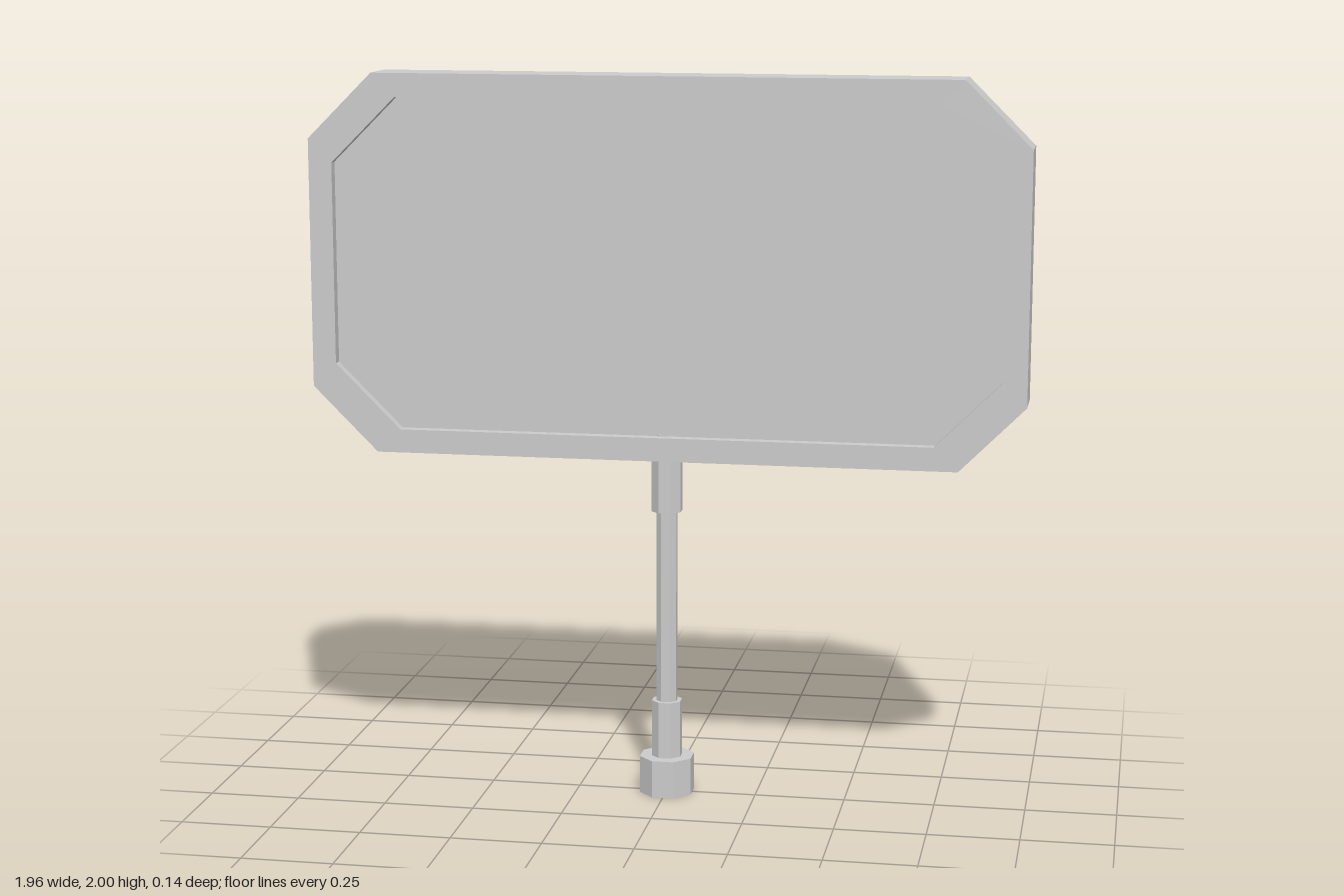
import * as THREE from 'three';

const material = new THREE.MeshStandardMaterial({ color: 0xcccccc, flatShading: true });
const panelMaterial = new THREE.MeshStandardMaterial({ color: 0xcccccc, side: THREE.DoubleSide });

const CENTER_Y = 1.478, HALF_W = 0.982, HALF_H = 0.522, CHAMFER = 0.18;
const HALF_DEPTH = 0.067, RIM = 0.065, PANEL_Z = 0.037;

// Chamfered rectangle, counterclockwise from the front, shrunk by an inset
function outline(inset) {
  const w = HALF_W - inset, h = HALF_H - inset, c = CHAMFER;
  return [
    [w, -h + c], [w, h - c], [w - c, h], [-w + c, h],
    [-w, h - c], [-w, -h + c], [-w + c, -h], [w - c, -h],
  ];
}

// Sweeps a closed [inset, z] profile around the outline
function sweepFrame(profile) {
  const rings = profile.map(([inset, z]) => outline(inset).map(([x, y]) => [x, y, z]));
  const positions = [];
  rings.forEach((ring, i) => {
    const next = rings[(i + 1) % rings.length];
    ring.forEach((a, k) => {
      const j = (k + 1) % ring.length;
      const b = ring[j], c = next[j], d = next[k];
      positions.push(...a, ...b, ...c, ...a, ...c, ...d);
    });
  });
  const geometry = new THREE.BufferGeometry();
  geometry.setAttribute('position', new THREE.Float32BufferAttribute(positions, 3));
  geometry.computeVertexNormals();
  return geometry;
}

// Octagonal post section with flats facing the front and sides
function octagon(name, apothem, bottom, top) {
  const radius = apothem / Math.cos(Math.PI / 8);
  const geometry = new THREE.CylinderGeometry(radius, radius, top - bottom, 8);
  geometry.rotateY(Math.PI / 8);
  const mesh = new THREE.Mesh(geometry, material);
  mesh.name = name;
  mesh.position.y = (bottom + top) / 2;
  return mesh;
}

export function createModel() {
  const model = new THREE.Group();
  model.name = 'signOnPost';

  // Frame with a slot behind the panel
  const slotInset = 0.02, lipZ = -0.02;
  const frame = new THREE.Mesh(sweepFrame([
    [0, -HALF_DEPTH], [0, HALF_DEPTH], [RIM, HALF_DEPTH], [RIM, PANEL_Z],
    [slotInset, PANEL_Z], [slotInset, lipZ], [RIM, lipZ], [RIM, -HALF_DEPTH],
  ]), material);
  frame.name = 'frame';
  frame.position.y = CENTER_Y;

  // Thin panel set near the front of the frame
  const shape = new THREE.Shape(outline(RIM).map(([x, y]) => new THREE.Vector2(x, y)));
  const panel = new THREE.Mesh(new THREE.ShapeGeometry(shape), panelMaterial);
  panel.name = 'panel';
  panel.position.set(0, CENTER_Y, PANEL_Z);

  model.add(frame, panel);

  // Post, stacked from the ground up
  model.add(
    octagon('base', 0.072, 0, 0.105),
    octagon('lowerCollar', 0.04, 0.105, 0.265),
    octagon('rod', 0.028, 0.265, 0.805),
    octagon('upperCollar', 0.04, 0.805, 1.025),
  );
  return model;
}
